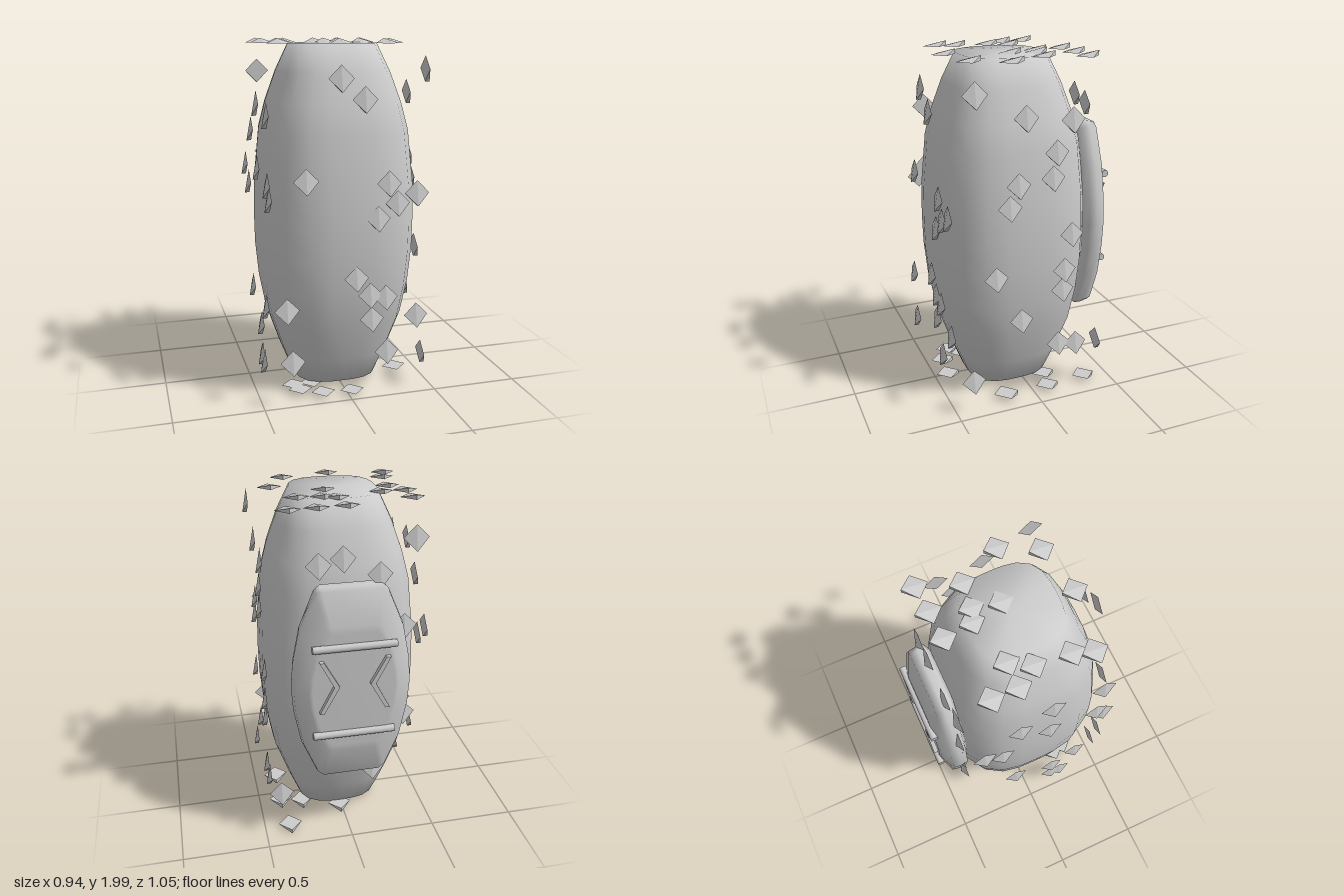
import * as THREE from 'three';

const grey = new THREE.MeshStandardMaterial({ color: 0xcccccc });
const flat = new THREE.MeshStandardMaterial({ color: 0xcccccc, flatShading: true, side: THREE.DoubleSide });

// Closed smooth skin over a stack of rings, each a counterclockwise list of points
function loft(rings) {
  const n = rings[0].length, pos = [], index = [];
  rings.forEach(r => r.forEach(p => pos.push(...p)));
  const centre = r => [0, 1, 2].map(k => r.reduce((s, p) => s + p[k], 0) / n);
  pos.push(...centre(rings[0]), ...centre(rings[rings.length - 1]));
  const first = rings.length * n, last = first + 1, top = (rings.length - 1) * n;
  for (let j = 0; j < n; j++) {
    const k = (j + 1) % n;
    for (let i = 0; i < top; i += n) index.push(i + j, i + k, i + n + j, i + k, i + n + k, i + n + j);
    index.push(first, k, j, last, top + j, top + k);
  }
  const g = new THREE.BufferGeometry();
  g.setAttribute('position', new THREE.Float32BufferAttribute(pos, 3));
  g.setIndex(index);
  g.computeVertexNormals();
  return g;
}

function add(parent, name, geometry, material = grey) {
  const mesh = new THREE.Mesh(geometry, material);
  mesh.name = name;
  parent.add(mesh);
  return mesh;
}

// Rounded-square cross-section at one height
function bodyRing([y, r]) {
  return Array.from({ length: 24 }, (_, i) => {
    const a = i / 24 * Math.PI * 2, c = Math.cos(a), s = Math.sin(a);
    const k = r / Math.cbrt(Math.abs(c) ** 3 + Math.abs(s) ** 3);
    return [c * k, y, 0.057 - s * k];
  });
}

// Diamond flake: flat base with a raised tip over its -y corner
function flakeGeometry() {
  const g = new THREE.ConeGeometry(0.07, 0.027, 4, 1);
  g.rotateX(Math.PI / 2);
  g.translate(0, 0, 0.0135);
  const p = g.attributes.position;
  for (let i = 0; i < p.count; i++) if (p.getZ(i) > 0.02) p.setY(i, -0.07);
  return g;
}

// Seeded random numbers from -1 to 1
function seeded(seed) {
  return () => (seed = (seed * 16807) % 2147483647) / 1073741823.5 - 1;
}

export function createModel() {
  const model = new THREE.Group();
  model.name = 'model';

  // Barrel-shaped body
  const profile = [[0.035, 0.245], [0.2, 0.31], [0.42, 0.385], [0.62, 0.422], [0.82, 0.44], [1, 0.443],
    [1.2, 0.438], [1.5, 0.408], [1.65, 0.37], [1.82, 0.31], [1.975, 0.238]];
  add(model, 'body', loft(profile.map(bodyRing)));

  // Bevelled plate on the back, its outline mirrored from one quarter
  const quarter = [[1, 0], [0.97, 0.25], [0.85, 0.6], [0.6, 0.95], [0.5, 1]];
  const half = [...quarter, ...quarter.map(([x, y]) => [-x, y]).reverse()];
  const outline = [...half, ...half.slice(1, -1).map(([x, y]) => [-x, -y])];
  const layers = [[-0.5, 0.23, 0.34], [-0.495, 0.25, 0.38], [-0.455, 0.325, 0.565],
    [-0.41, 0.333, 0.575], [-0.365, 0.325, 0.575], [-0.345, 0.27, 0.56]];
  const plate = new THREE.Group();
  plate.name = 'backPlate';
  model.add(plate);
  add(plate, 'plate', loft(layers.map(([z, w, h]) => outline.map(([x, y]) => [x * w, 1.005 + y * h, z]))));

  // Raised bars above and below the chevrons
  for (const y of [0.74, 1.27]) {
    const bar = add(plate, 'bar', new THREE.CylinderGeometry(0.021, 0.021, 0.46, 12));
    bar.rotation.z = Math.PI / 2;
    bar.position.set(0, y, -0.505);
  }

  // Pair of chevrons pointing inward
  for (const s of [-1, 1]) {
    const shape = new THREE.Shape([[0.195, 0.155], [0.115, 0], [0.195, -0.155], [0.17, -0.155], [0.085, 0], [0.17, 0.155]]
      .map(([x, y]) => new THREE.Vector2(s * x, y)));
    const chevron = add(plate, 'chevron',
      new THREE.ExtrudeGeometry(shape, { depth: 0.035, bevelEnabled: false }));
    chevron.position.set(0, 1.045, -0.525);
  }

  // Flakes on the six planes that box in the body:
  // name, normal, axes of the plane, number scattered, placed spots
  const sides = [
    ['topFlakes', [0, 1, 0], 'xz', 4, [[0, -.3], [.16, -.31], [.31, -.32], [.02, -.14], [.23, -.1], [.06, .03],
      [-.37, -.08], [-.3, .03], [-.32, .22], [.34, .13], [.24, .33], [-.03, .38]]],
    ['bottomFlakes', [0, -1, 0], 'xz', 8, [[.35, -.34], [.37, -.09], [.24, -.12], [.37, .17], [-.18, .27]]],
    ['frontFlakes', [0, 0, 1], 'xy', 0, [[-.07, 1.8], [.06, 1.69], [-.26, 1.27], [.2, 1.24], [.36, 1.18], [.25, 1.13],
      [.14, 1.05], [.02, .72], [.1, .62], [.19, .6], [.11, .48], [.37, .48], [.2, .28], [-.37, .57], [-.34, .27]]],
    ['backFlakes', [0, 0, -1], 'xy', 8, [[.17, 1.69], [.04, 1.72], [-.16, 1.62], [-.28, .86], [.4, .3]]],
    ['leftFlakes', [1, 0, 0], 'zy', 0, [[.37, 1.84], [.09, 1.7], [-.18, 1.67], [-.09, 1.5], [-.07, 1.36], [.13, 1.34],
      [.18, 1.22], [-.19, 1.02], [.26, .82], [-.15, .81], [-.14, .69], [.11, .54], [-.12, .35], [-.23, .33], [.4, .21]]],
    ['rightFlakes', [-1, 0, 0], 'zy', 5, [[.38, 1.61], [.09, 1.65], [-.09, 1.49], [.38, 1.24], [.09, 1.29],
      [.31, .54], [-.1, .54], [.23, .18]]],
  ];
  const centre = new THREE.Vector3(0, 1.004, 0.057);
  const reach = new THREE.Vector3(0.443, 0.97, 0.443);
  const flake = flakeGeometry();
  const random = seeded(77);
  for (const [name, direction, [axisA, axisB], scattered, placed] of sides) {
    const group = new THREE.Group();
    group.name = name;
    model.add(group);
    const normal = new THREE.Vector3(...direction);
    const up = normal.y ? new THREE.Vector3(0, 0, 1) : new THREE.Vector3(0, 1, 0);
    const basis = new THREE.Matrix4().makeBasis(up.clone().cross(normal), up, normal);
    const plane = normal.clone().multiply(reach).add(centre);
    const loose = Array.from({ length: scattered }, () =>
      [axisA, axisB].map(axis => centre[axis] + random() * reach[axis] * 0.84));
    for (const [a, b] of [...placed, ...loose]) {
      const mesh = add(group, 'flake', flake, flat);
      mesh.quaternion.setFromRotationMatrix(basis);
      mesh.position.copy(plane);
      mesh.position[axisA] = a;
      mesh.position[axisB] = b;
    }
  }
  return model;
}
